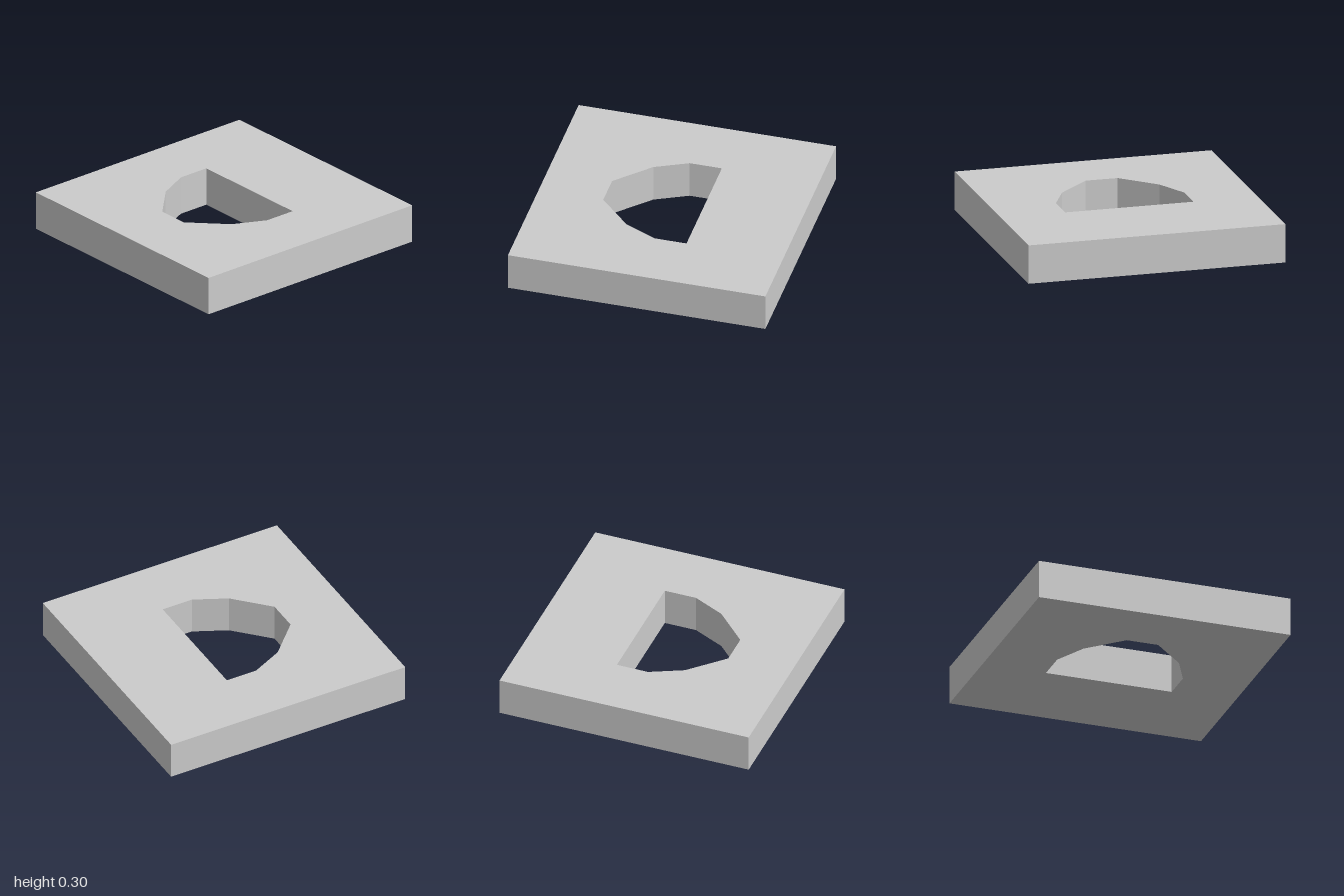
import * as THREE from 'three';

const HEIGHT = 0.3;

export function createModel() {
  const group = new THREE.Group();
  group.name = 'slab';

  // Square outline of the plate
  const outline = new THREE.Shape([[-1, -1], [1, -1], [1, 1], [-1, 1]].map(([x, y]) => new THREE.Vector2(x, y)));

  // D-shaped opening: one half, mirrored across the middle
  const half = [[0.25, 0.5], [0, 0.5], [-0.25, 0.38], [-0.5, 0.125]];
  const mirrored = half.map(([x, y]) => [x, -y]).reverse();
  outline.holes.push(new THREE.Path([...half, ...mirrored].map(([x, y]) => new THREE.Vector2(x, y))));

  // Extrude and lay flat on the ground
  const geometry = new THREE.ExtrudeGeometry(outline, { depth: HEIGHT, bevelEnabled: false });
  geometry.rotateX(-Math.PI / 2);

  const plate = new THREE.Mesh(geometry, new THREE.MeshStandardMaterial({ color: 0xcccccc, flatShading: true }));
  plate.name = 'plateWithOpening';
  group.add(plate);
  return group;
}
